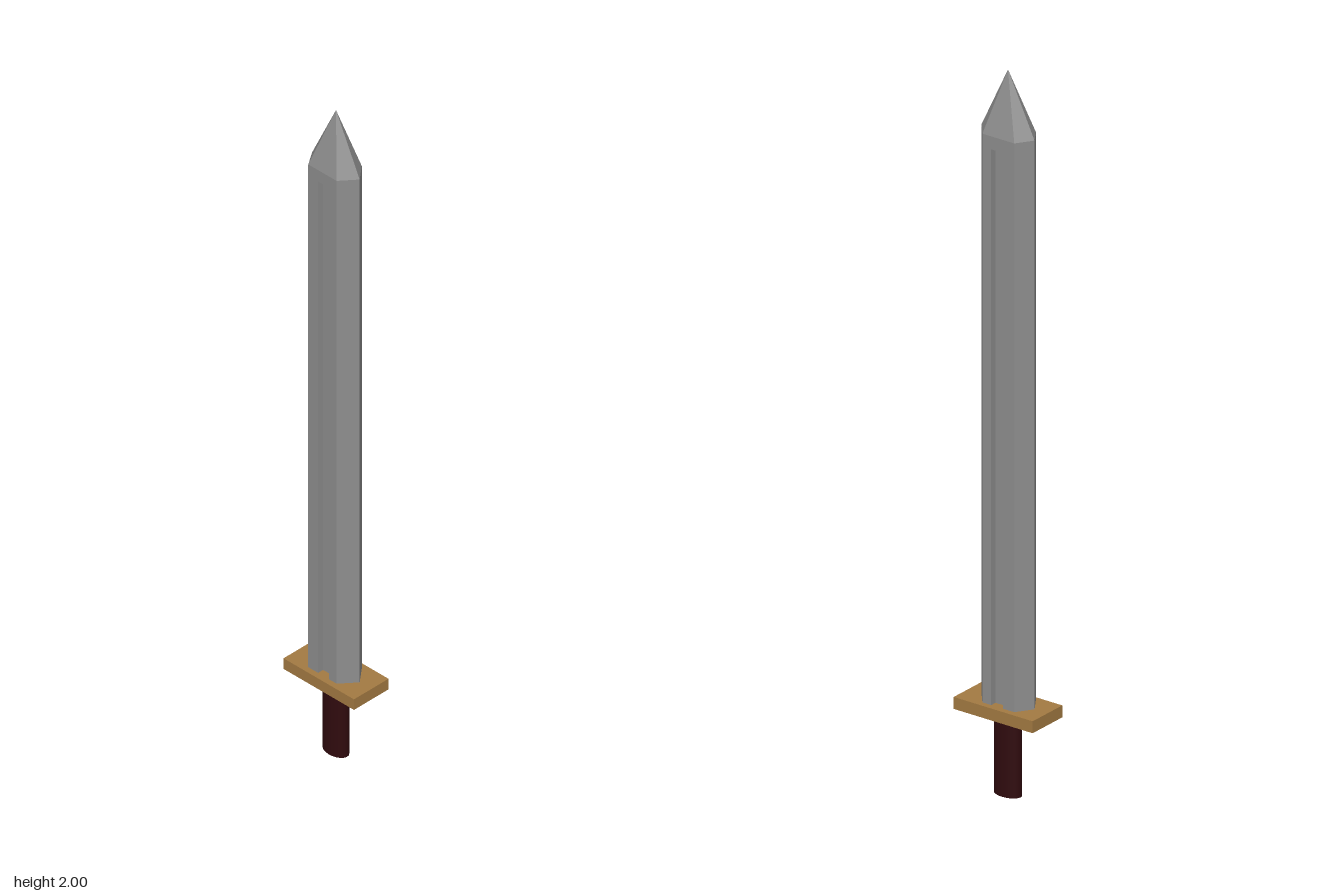
import * as THREE from 'three';

const material = (name, color) => {
  const m = new THREE.MeshStandardMaterial({ color });
  m.name = name;
  return m;
};

export function createModel() {
  const steel = material('steel grey', 0x8e8e8e);
  const brass = material('brass brown', 0xa37a42);
  const leather = material('dark red leather', 0x300b0e);
  const group = new THREE.Group();
  group.name = 'sword';

  const add = (name, geometry, mat, y = 0) => {
    const mesh = new THREE.Mesh(geometry, mat);
    mesh.name = name;
    mesh.position.y = y;
    group.add(mesh);
    return mesh;
  };

  // Upright prism from an (x, -z) outline
  const prism = (points, height) => {
    const shape = new THREE.Shape(points.map(([x, y]) => new THREE.Vector2(x, y)));
    return new THREE.ExtrudeGeometry(shape, { depth: height, bevelEnabled: false }).rotateX(-Math.PI / 2);
  };

  // Six-sided blade section; the lower length has a groove on both faces
  const hex = [[-0.084, 0], [-0.054, -0.045], [0.047, -0.045], [0.084, 0], [0.047, 0.045], [-0.054, 0.045]];
  const w = 0.019, floor = 0.027;
  const groove = s => [[-w * s, -0.045 * s], [-w * s, -floor * s], [w * s, -floor * s], [w * s, -0.045 * s]];
  const grooved = [...hex.slice(0, 2), ...groove(1), ...hex.slice(2, 5), ...groove(-1), hex[5]];
  const grooveTop = 1.79, shoulder = 1.826, guardTop = 0.255;
  add('groovedBlade', prism(grooved, grooveTop - guardTop), steel, guardTop);
  add('bladeShoulder', prism(hex, shoulder - grooveTop), steel, grooveTop);

  // Pointed tip: one flat triangle per blade side
  const corners = [];
  hex.forEach(([x, y], i) => {
    const [nx, ny] = hex[(i + 1) % hex.length];
    corners.push(x, 0, -y, nx, 0, -ny, 0, 2 - shoulder, 0);
  });
  const tip = new THREE.BufferGeometry();
  tip.setAttribute('position', new THREE.Float32BufferAttribute(corners, 3));
  tip.computeVertexNormals();
  add('bladeTip', tip, steel, shoulder);

  // Crossguard
  add('guard', new THREE.BoxGeometry(0.25, 0.033, 0.124), brass, guardTop - 0.0165);

  // Oval grip
  const grip = add('grip', new THREE.CylinderGeometry(0.04, 0.04, 0.222, 20), leather, 0.111);
  grip.scale.z = 0.64;

  return group;
}
